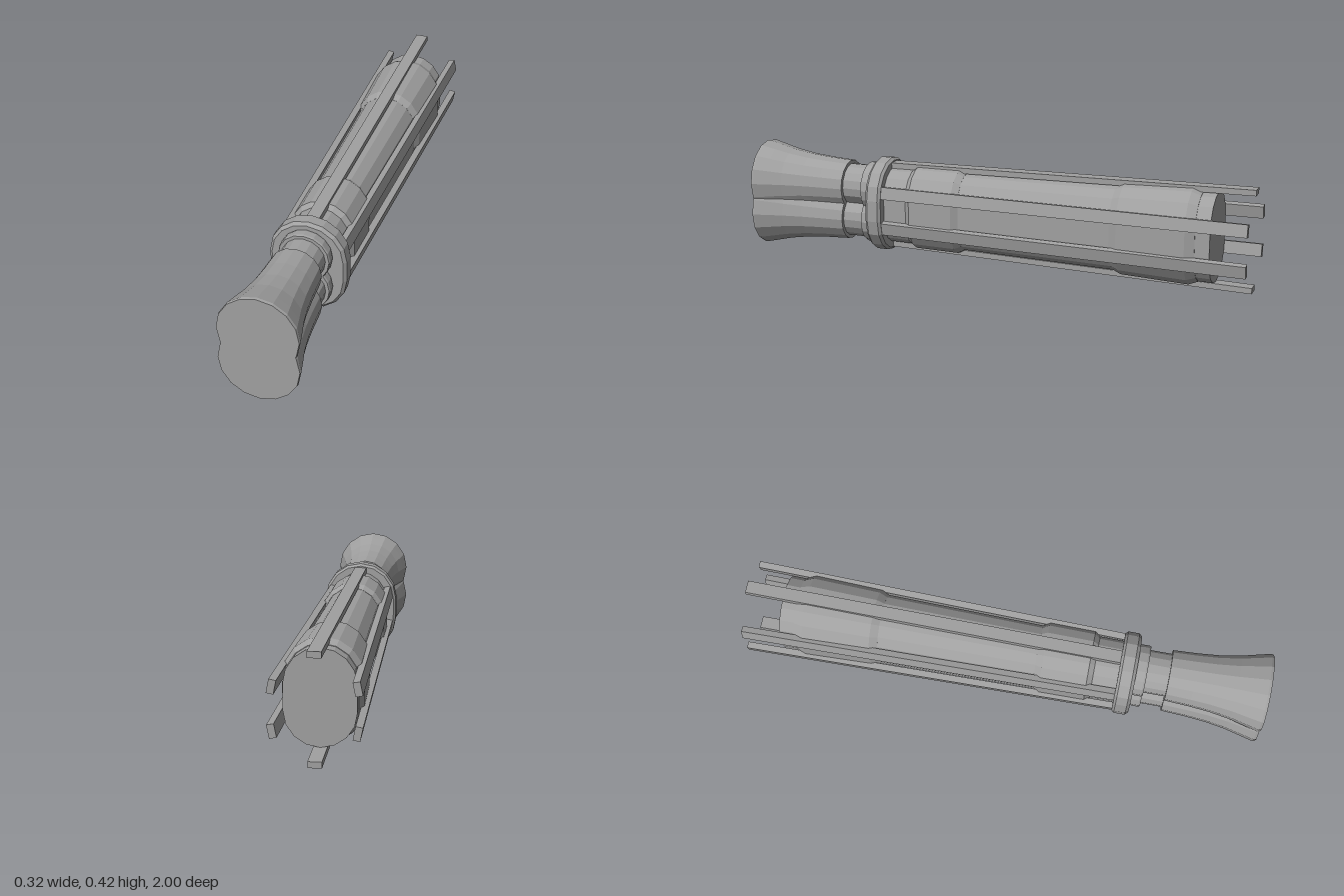
import * as THREE from 'three';

const CY = 0.215; // height of the long axis

// Outline of two stacked 16-sided circles: waisted (meeting in a crease) or with straight sides
function outline(r, offset, waisted) {
  const step = Math.PI / 8;
  const angles = [];
  for (let i = 0; i <= 8; i++) angles.push(i * step);
  if (waisted) {
    const a = Math.asin(Math.min(1, offset / r));
    angles.unshift(-a, -step);
    angles.push(Math.PI + step, Math.PI + a);
  }
  const upper = angles.map(a => [r * Math.cos(a), offset + r * Math.sin(a)]);
  return [...upper, ...upper.map(([x, y]) => [-x, -y])];
}

// Faceted loft along z through [z, radius] stations listed front to back, capped at both ends
function loft(stations, offset, waisted) {
  const pos = [];
  const rings = stations.map(([z, r]) =>
    outline(r, offset, waisted).map(([x, y]) => [x, y + CY, z]));
  const n = rings[0].length;
  const last = rings.length - 1;
  for (let i = 0; i < n; i++) {
    const j = (i + 1) % n;
    for (let k = 0; k < last; k++) {
      const A = rings[k][i], B = rings[k][j], C = rings[k + 1][i], D = rings[k + 1][j];
      pos.push(...A, ...C, ...B, ...B, ...C, ...D);
    }
    pos.push(0, CY, stations[0][0], ...rings[0][i], ...rings[0][j]);
    pos.push(0, CY, stations[last][0], ...rings[last][j], ...rings[last][i]);
  }
  const g = new THREE.BufferGeometry();
  g.setAttribute('position', new THREE.Float32BufferAttribute(pos, 3));
  g.computeVertexNormals();
  return g;
}

// Square rail along z whose distance from the axis grows toward the back
function railGeometry(frontRadius, backRadius, width, thickness) {
  const zFront = 0.45, zBack = -1;
  const g = new THREE.BoxGeometry(thickness, width, zFront - zBack);
  g.translate(-thickness / 2, 0, (zFront + zBack) / 2);
  const p = g.attributes.position;
  for (let i = 0; i < p.count; i++) {
    const t = (zFront - p.getZ(i)) / (zFront - zBack);
    p.setX(i, p.getX(i) + frontRadius + (backRadius - frontRadius) * t);
  }
  g.computeVertexNormals();
  return g;
}

export function createModel() {
  const model = new THREE.Group();
  const grey = new THREE.MeshStandardMaterial({ color: 0xa0a0a0 });
  grey.name = 'grey metal';

  const add = (name, geometry) => {
    const mesh = new THREE.Mesh(geometry, grey);
    mesh.name = name;
    model.add(mesh);
    return mesh;
  };

  // Flared pommel, neck and collar with a crease on each side
  add('flaredEnd', loft([[1, 0.147], [0.99, 0.149], [0.94, 0.137], [0.88, 0.122],
    [0.8, 0.109], [0.72, 0.102], [0.625, 0.097]], 0.063, true));
  add('neck', loft([[0.64, 0.082], [0.53, 0.082]], 0.064, true));
  add('collar', loft([[0.542, 0.095], [0.535, 0.098], [0.51, 0.098], [0.485, 0.09]], 0.063, true));

  // Wide ring in front of the grip
  add('ring', loft([[0.502, 0.134], [0.49, 0.145], [0.447, 0.145], [0.437, 0.136]], 0.041, false));

  // Grip core and its two raised bands
  const flat = 0.047;
  add('gripCore', loft([[0.45, 0.104], [0.13, 0.107], [-0.5, 0.118], [-0.86, 0.125]], flat, false));
  add('frontBand', loft([[0.345, 0.105], [0.325, 0.12], [0.15, 0.122], [0.125, 0.108]], flat, false));
  add('rearBand', loft([[-0.48, 0.118], [-0.51, 0.131], [-0.77, 0.14], [-0.805, 0.126]], flat, false));

  // Two rails on each side, seated on the facets above and below the flat
  const tilt = Math.PI / 16;
  const sideRail = railGeometry(0.131, 0.156, 0.048, 0.025);
  for (const up of [1, -1]) {
    for (const side of [1, -1]) {
      const rail = add(`${side > 0 ? 'left' : 'right'}${up > 0 ? 'Upper' : 'Lower'}Rail`, sideRail);
      rail.position.y = CY + up * flat;
      rail.rotation.z = side > 0 ? up * tilt : Math.PI - up * tilt;
    }
  }

  // Rails along the top and bottom
  const endRail = railGeometry(0.123, 0.149, 0.048, 0.022);
  for (const up of [1, -1]) {
    const rail = add(up > 0 ? 'topRail' : 'bottomRail', endRail);
    rail.position.y = CY + up * flat;
    rail.rotation.z = up * Math.PI / 2;
  }

  return model;
}
